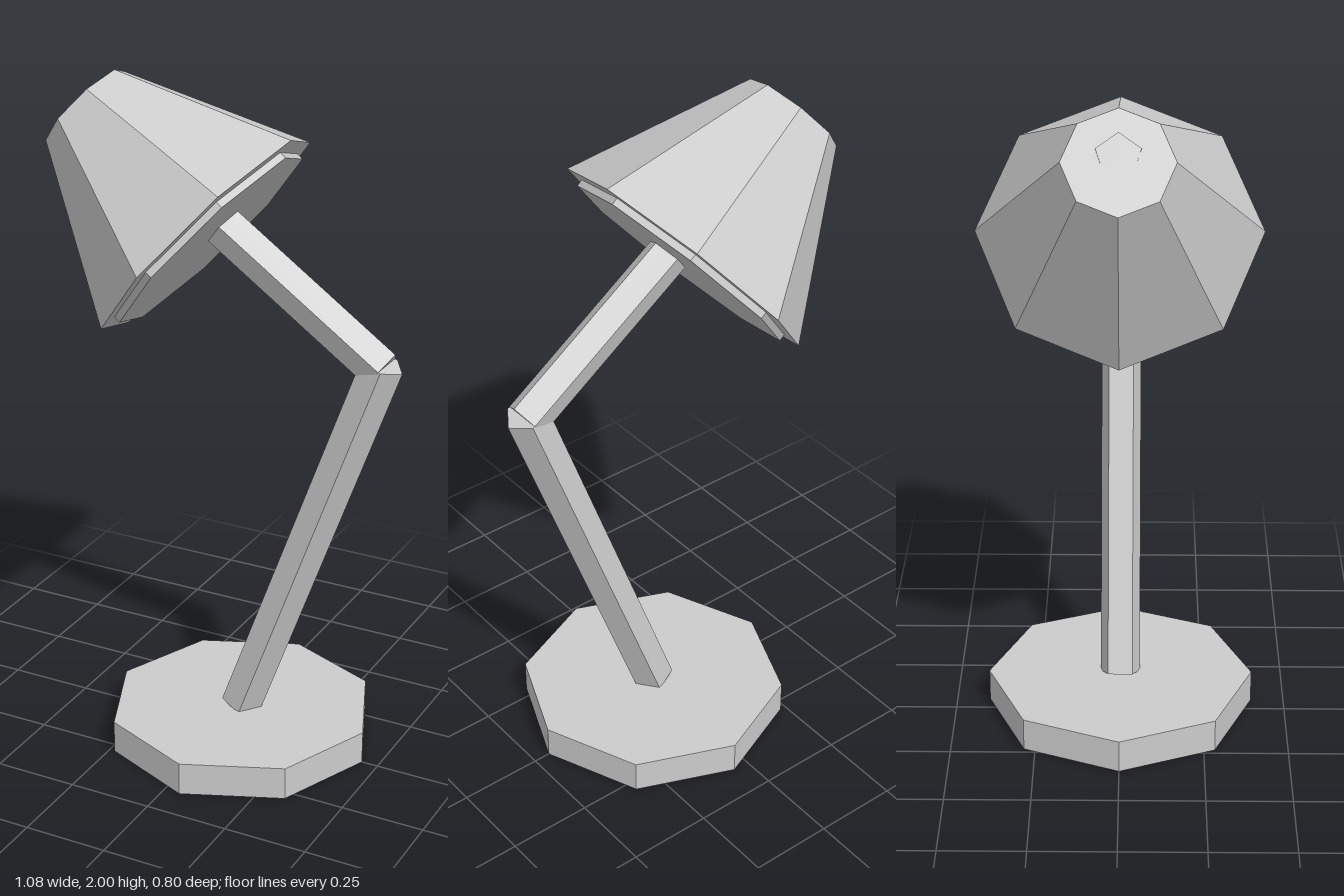
import * as THREE from 'three';

export function createModel() {
  const lamp = new THREE.Group();
  lamp.name = 'deskLamp';

  const grey = new THREE.MeshStandardMaterial({ color: 0xcccccc, flatShading: true });
  grey.name = 'lightGrey';

  // Faceted prism or frustum from the centre of its lower end, leaning by tilt degrees toward -x
  function addPart(name, topRadius, bottomRadius, length, sides, x, y, tilt) {
    const geometry = new THREE.CylinderGeometry(topRadius, bottomRadius, length, sides);
    geometry.rotateY(Math.PI / 2); // one corner edge faces +x
    geometry.translate(0, length / 2, 0);
    const mesh = new THREE.Mesh(geometry, grey);
    mesh.name = name;
    mesh.position.set(x, y, 0);
    mesh.rotation.z = THREE.MathUtils.degToRad(tilt);
    lamp.add(mesh);
  }

  // Octagonal foot
  addPart('base', 0.4, 0.4, 0.1, 8, 0.05, 0, 0);

  // Five-sided arms; the upper one runs through the shade and out of its crown
  addPart('lowerArm', 0.0625, 0.0625, 1.255, 5, 0.05, 0.1, -20);
  addPart('upperArm', 0.0625, 0.0625, 1.12, 5, 0.48, 1.26, 55);

  // Closed shade with a smaller plate standing proud of its mouth
  addPart('shade', 0.15, 0.4, 0.5, 8, -0.064, 1.566, 50);
  addPart('lightPlate', 0.35, 0.35, 0.04, 8, -0.048, 1.553, 50);

  return lamp;
}
